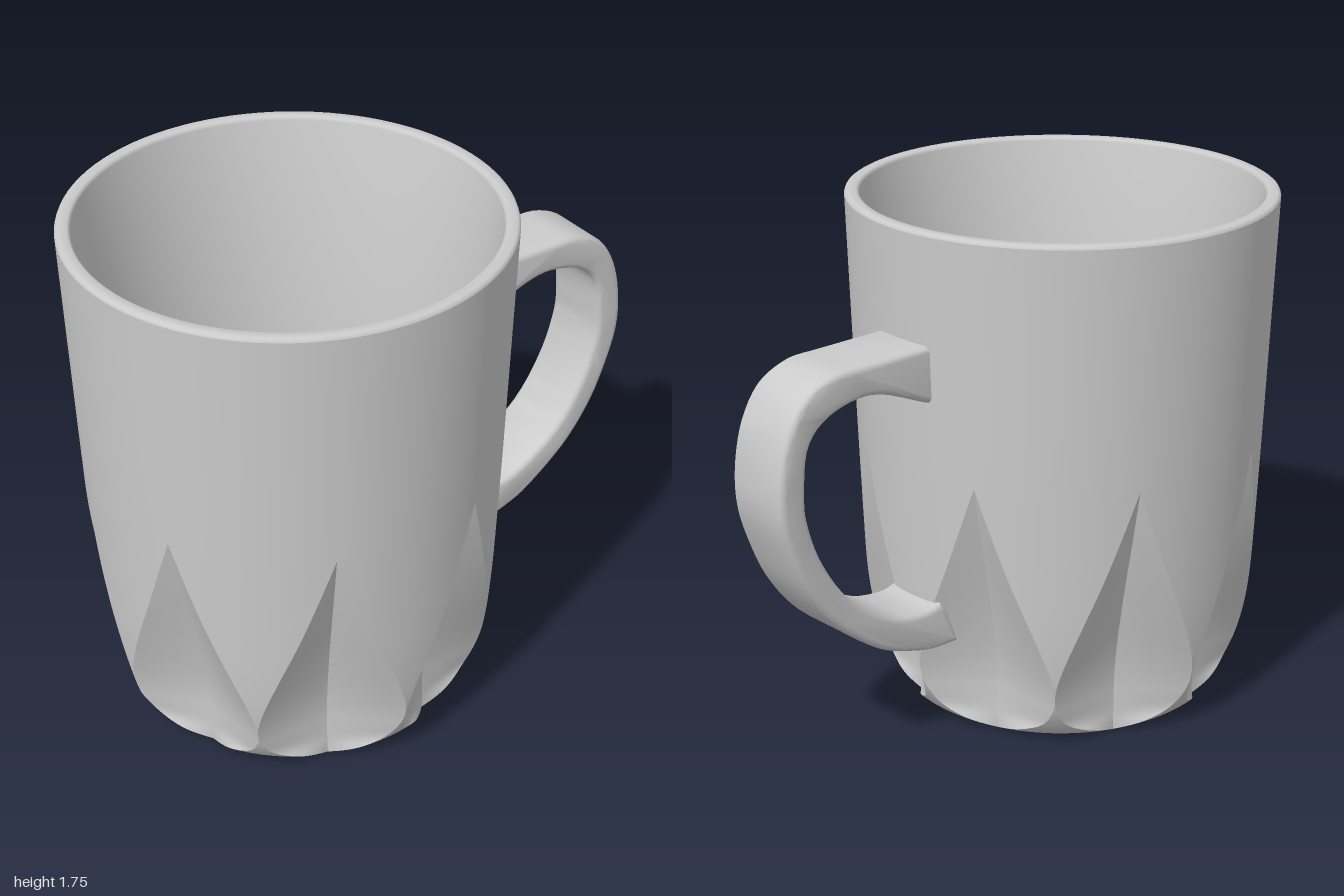
import * as THREE from 'three';
import { toCreasedNormals } from 'three/addons/utils/BufferGeometryUtils.js';

const material = new THREE.MeshStandardMaterial({ color: 0xcccccc });
const CUP_X = -0.287, PETALS = 8, HALF = Math.PI / PETALS, HEIGHT = 1.75;

function addMesh(parent, name, geometry) {
  const mesh = new THREE.Mesh(geometry, material);
  mesh.name = name;
  parent.add(mesh);
  return mesh;
}

// Rows of the outer wall: height, wall radius, groove radius, half angle of the petal (degrees)
const WALL = [
  [0, 0.505, 0.505, 0], [0.03, 0.55, 0.506, 10], [0.07, 0.582, 0.506, 18.2], [0.13, 0.615, 0.506, 21.6],
  [0.2, 0.638, 0.508, 22.5], [0.3, 0.654, 0.521, 20.5], [0.45, 0.666, 0.554, 15.5], [0.6, 0.673, 0.594, 10.2],
  [0.75, 0.679, 0.637, 5.4], [0.93, 0.686, 0.686, 0],
];

function wallRows() {
  const spline = new THREE.CubicInterpolant(WALL.map((_, i) => i), WALL.flat(), 4);
  const rows = [], steps = 5, last = (WALL.length - 1) * steps;
  for (let i = 0; i <= last; i++) {
    const [y, wall, groove, deg] = spline.evaluate(i / steps);
    const w = THREE.MathUtils.clamp(THREE.MathUtils.degToRad(deg), 0, HALF);
    rows.push({ y: Math.max(y, 0), wall, groove: Math.min(groove, wall), w });
  }
  for (const [y, r] of [[1.2, 0.695], [1.5, 0.705], [1.738, 0.713]]) rows.push({ y, wall: r, groove: r, w: 0 });
  return rows;
}

// One row of points: each sector is wall, two straight sides of the V groove, wall
function ringPoints({ y, wall, groove, w }) {
  const at = (r, a) => new THREE.Vector3(r * Math.sin(a), y, r * Math.cos(a));
  const points = [], wallSteps = 6, grooveSteps = 6;
  for (let k = 0; k < PETALS; k++) {
    const mid = (2 * k + 1) * HALF;
    const valley = at(groove, mid), left = at(wall, mid - w), right = at(wall, mid + w);
    for (let i = 0; i < wallSteps; i++) points.push(at(wall, mid - HALF + (HALF - w) * i / wallSteps));
    for (let i = 0; i < grooveSteps; i++) points.push(left.clone().lerp(valley, i / grooveSteps));
    for (let i = 0; i < grooveSteps; i++) points.push(valley.clone().lerp(right, i / grooveSteps));
    for (let i = 0; i < wallSteps; i++) points.push(at(wall, mid + w + (HALF - w) * i / wallSteps));
  }
  return points;
}

function wallGeometry() {
  const rings = wallRows().map(ringPoints), positions = [];
  const triangle = new THREE.Triangle();
  const addTriangle = (a, b, c) => {
    if (triangle.set(a, b, c).getArea() < 1e-8) return;
    for (const p of [a, b, c]) positions.push(p.x, p.y, p.z);
  };
  for (let i = 0; i < rings.length - 1; i++) {
    const low = rings[i], high = rings[i + 1];
    for (let j = 0; j < low.length; j++) {
      const n = (j + 1) % low.length;
      addTriangle(low[j], low[n], high[n]);
      addTriangle(low[j], high[n], high[j]);
    }
  }
  const geometry = new THREE.BufferGeometry();
  geometry.setAttribute('position', new THREE.Float32BufferAttribute(positions, 3));
  return toCreasedNormals(geometry, 0.38);
}

// Rim, inner wall and rounded floor
function insideGeometry() {
  const profile = [[0.713, 1.738], [0.71, 1.746], [0.703, HEIGHT], [0.674, HEIGHT], [0.667, 1.746], [0.664, 1.738],
    [0.59, 0.93], [0.526, 0.19], [0.517, 0.15], [0.5, 0.115], [0.475, 0.095], [0.44, 0.09], [0, 0.09]];
  const points = profile.map(([r, y]) => new THREE.Vector2(r, y));
  // The lathe faces outward for a rising profile, so this falling one faces the axis
  return toCreasedNormals(new THREE.LatheGeometry(points, 96), 0.7);
}

function handleGeometry() {
  const outer = [[0.786, 1.375], [0.893, 1.325], [0.963, 1.22], [0.996, 1.085], [0.996, 0.95], [0.957, 0.815],
    [0.893, 0.674], [0.786, 0.535], [0.626, 0.412], [0.52, 0.366], [0.4, 0.334], [0.285, 0.33]];
  const inner = [[0.44, 0.48], [0.572, 0.51], [0.733, 0.62], [0.84, 0.775], [0.893, 0.925], [0.9, 1.03],
    [0.882, 1.165], [0.81, 1.24], [0.68, 1.275], [0.57, 1.26], [0.422, 1.2], [0.37, 1.18]];
  const vectors = (list) => list.map(([x, y]) => new THREE.Vector2(x, y));
  const shape = new THREE.Shape();
  shape.moveTo(0.37, 1.382);
  shape.lineTo(0.68, 1.38);
  shape.splineThru(vectors(outer));
  shape.lineTo(0.335, 0.465);
  shape.lineTo(0.36, 0.492);
  shape.splineThru(vectors(inner));
  shape.closePath();
  const bevel = 0.022, width = 0.245;
  const geometry = new THREE.ExtrudeGeometry(shape, {
    depth: width - 2 * bevel, curveSegments: 4, bevelSegments: 4,
    bevelSize: bevel, bevelThickness: bevel, bevelOffset: -bevel,
  });
  geometry.translate(0, 0, bevel - width / 2);
  return toCreasedNormals(geometry, 0.6);
}

export function createModel() {
  const model = new THREE.Group();
  model.name = 'mug';

  const cup = new THREE.Group();
  cup.name = 'cup';
  cup.position.x = CUP_X;
  model.add(cup);
  addMesh(cup, 'petalWall', wallGeometry());
  addMesh(cup, 'rimAndInside', insideGeometry());
  addMesh(cup, 'base', new THREE.CircleGeometry(0.505, 96).rotateX(Math.PI / 2));

  addMesh(model, 'handle', handleGeometry());
  return model;
}
